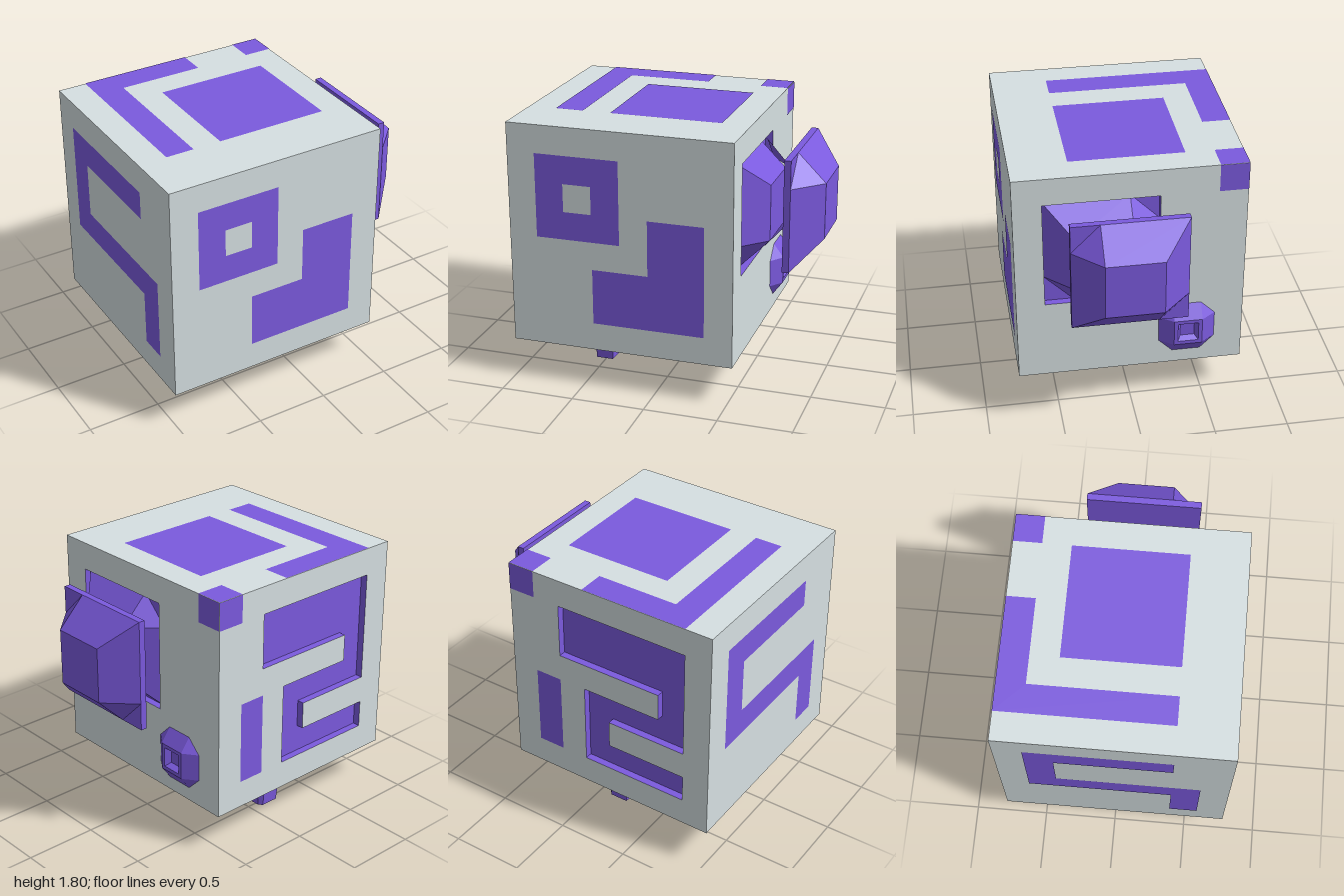
import * as THREE from 'three';

const H = 0.765;      // half the cube
const K = H / 4;      // one cell of the 8 x 8 face grid
const FOOT = 0.265;   // height of the foot
const SINK = 0.05;    // depth of the recesses
const CENTER = [-0.235, FOOT + H, 0];

const grey = new THREE.MeshStandardMaterial({ color: 0xd6e0e2 });
grey.name = 'pale grey';
const purple = new THREE.MeshStandardMaterial({ color: 0x7b5ade });
purple.name = 'purple';

// Grid cells (column, row from the top left of a face) to face coordinates
const cell = ([c, r]) => new THREE.Vector2(c * K - H, H - r * K);
const rect = (c0, r0, c1, r1) => [[c0, r0], [c1, r0], [c1, r1], [c0, r1]];
const cellRing = (cells, z) => cells.map(cell).map((p) => [p.x, p.y, z]);

function cellGeometry(cells, hole) {
  const shape = new THREE.Shape(cells.map(cell));
  if (hole) shape.holes.push(new THREE.Path(hole.map(cell)));
  return new THREE.ShapeGeometry(shape);
}

function add(parent, name, geometry, material) {
  const mesh = new THREE.Mesh(geometry, material);
  mesh.name = name;
  parent.add(mesh);
  return mesh;
}

function flatTriangles(pos) {
  const g = new THREE.BufferGeometry();
  g.setAttribute('position', new THREE.Float32BufferAttribute(pos, 3));
  g.computeVertexNormals();
  return g;
}

// Flat-faced skin through closed rings of [x, y, z] points
function loft(rings) {
  const pos = [];
  const tri = (a, b, c) => {
    const [A, B, C] = [a, b, c].map((p) => new THREE.Vector3(...p));
    if (B.sub(A).cross(C.sub(A)).length() > 1e-9) pos.push(...a, ...b, ...c);
  };
  for (let i = 0; i + 1 < rings.length; i++) {
    const a = rings[i], b = rings[i + 1], n = a.length;
    for (let j = 0; j < n; j++) {
      const k = (j + 1) % n;
      tri(a[j], a[k], b[k]);
      tri(a[j], b[k], b[j]);
    }
  }
  return flatTriangles(pos);
}

// Stacked square rings [half width, half side, height]. The corners on the
// chosen diagonal (1, -1, or 0 for all four) are cut off, the others mitred.
function bump(diagonal, rings) {
  return loft(rings.map(([o, i, z]) => {
    const ring = [];
    for (const [sx, sy] of [[1, 1], [-1, 1], [-1, -1], [1, -1]]) {
      const s = diagonal === 0 || sx * sy === diagonal ? i : o;
      const pair = [[sx * o, sy * s, z], [sx * s, sy * o, z]];
      ring.push(...(sx * sy > 0 ? pair : pair.reverse()));
    }
    return ring;
  }));
}

// A group whose local +z points out of one cube face
function faceGroup(root, name, rx, ry) {
  const g = new THREE.Group();
  g.name = name;
  g.rotation.set(rx, ry, 0);
  g.position.set(...CENTER);
  root.add(g);
  return g;
}

function paint(face, name, cells, hole) {
  add(face, name, cellGeometry(cells, hole), purple).position.z = H + 0.003;
}

// Grey face panel with a sunken purple area
function recess(face, cells) {
  add(face, 'facePanel', cellGeometry(rect(0, 0, 8, 8), cells), grey).position.z = H;
  add(face, 'recessFloor', cellGeometry(cells), purple).position.z = H - SINK;
  add(face, 'recessWalls', loft([cellRing(cells, H - SINK), cellRing(cells, H)]), purple);
}

export function createModel() {
  const root = new THREE.Group();
  root.name = 'puzzleCube';

  // Cube body, open on the two sides that carry recessed panels
  const box = new THREE.BoxGeometry(2 * H, 2 * H, 2 * H);
  box.setIndex(Array.from(box.index.array).slice(6, 30));
  box.clearGroups();
  add(root, 'cubeBody', box, grey).position.set(...CENTER);

  const front = faceGroup(root, 'frontFace', 0, 0);
  const top = faceGroup(root, 'topFace', -Math.PI / 2, 0);
  const bottom = faceGroup(root, 'bottomFace', Math.PI / 2, 0);
  const back = faceGroup(root, 'backFace', 0, Math.PI);
  const plugSide = faceGroup(root, 'plugFace', 0, Math.PI / 2);
  const plainSide = faceGroup(root, 'plainFace', 0, -Math.PI / 2);

  // Painted shapes
  paint(front, 'squareRing', rect(1, 1, 4, 4), rect(2, 2, 3, 3));
  paint(front, 'cornerShape', [[5, 3], [7, 3], [7, 7], [3, 7], [3, 5], [5, 5]]);
  paint(top, 'angleStripe', [[1, 0], [5, 0], [5, 1], [2, 1], [2, 6], [1, 6]]);
  paint(top, 'largeSquare', rect(3, 2, 7, 6));
  paint(top, 'cornerPatchTop', rect(7, 0, 8, 1));
  paint(plugSide, 'cornerPatchSide', rect(7, 0, 8, 1));
  paint(back, 'cornerPatchBack', rect(0, 0, 1, 1));
  paint(back, 'shortStripe', rect(1, 4, 2, 7));
  paint(plainSide, 'windingStripe',
    [[1, 1], [6, 1], [6, 2], [2, 2], [2, 4], [7, 4], [7, 7], [6, 7], [6, 5], [1, 5]]);
  paint(bottom, 'smallSquare', rect(5, 2, 6, 3));

  // Winding recess in the back, square recess in the side
  recess(back, [[2, 1], [7, 1], [7, 5], [4, 5], [4, 6], [7, 6], [7, 7], [3, 7], [3, 4], [6, 4], [6, 3], [2, 3]]);
  recess(plugSide, rect(1, 1, 5, 5));

  // Bevelled block rising from the square recess, with inward-facing corner flaps
  const socket = new THREE.Group();
  socket.name = 'socket';
  socket.position.set(-K, K, H);
  plugSide.add(socket);
  add(socket, 'socketBlock', bump(1, [[2 * K, K, -SINK], [K, K, 0.14], [0, 0, 0.14]]), purple);
  for (const sx of [-1, 1]) for (const sy of [-1, 1]) {
    const side = [sx * 2 * K, sy * K, 0.01];
    const end = [sx * K, sy * 2 * K, 0.01];
    const tip = [sx * K, sy * K, 0.18];
    add(socket, 'cornerFlap', flatTriangles((sx * sy > 0 ? [end, side, tip] : [side, end, tip]).flat()), purple);
  }

  // Free plate in front of the socket
  add(plugSide, 'floatingPlate', bump(-1, [
    [0, 0, 0.235], [2 * K, 2 * K, 0.235], [2 * K, 2 * K, 0.28],
    [2 * K, K, 0.28], [K, K, 0.47], [0, 0, 0.47],
  ]), purple).position.set(-0.05, K, H);

  // Small knob with a square dimple
  add(plugSide, 'knob', bump(0, [
    [K, K / 2, 0], [K / 2, K / 2, 0.07], [0.07, 0.07, 0.07], [0.048, 0.048, 0.03], [0, 0, 0.03],
  ]), purple).position.set(2 * K, -2.5 * K, H);

  // Winding foot, narrowing towards the ground, with small corner chamfers
  const footTop = [[5, 4.23], [4.8, 4], [3, 4], [3, 2], [2.25, 2], [2.15, 2.2],
    [2.15, 4.8], [2.3, 5], [4, 5], [4, 7], [4.8, 7], [5, 6.75]];
  const footEnd = [[4.87, 4.11], [4.87, 4.11], [3, 4], [2.87, 2.12], [2.25, 2.12], [2.25, 2.12],
    [2.25, 4.88], [2.3, 4.9], [4, 5], [4.1, 6.88], [4.75, 6.88], [4.87, 6.75]];
  const foot = new THREE.Group();
  foot.name = 'foot';
  bottom.add(foot);
  add(foot, 'footWalls', loft([cellRing(footTop, H), cellRing(footEnd, H + FOOT)]), purple);
  add(foot, 'footSole', cellGeometry(footEnd), purple).position.z = H + FOOT;

  return root;
}
